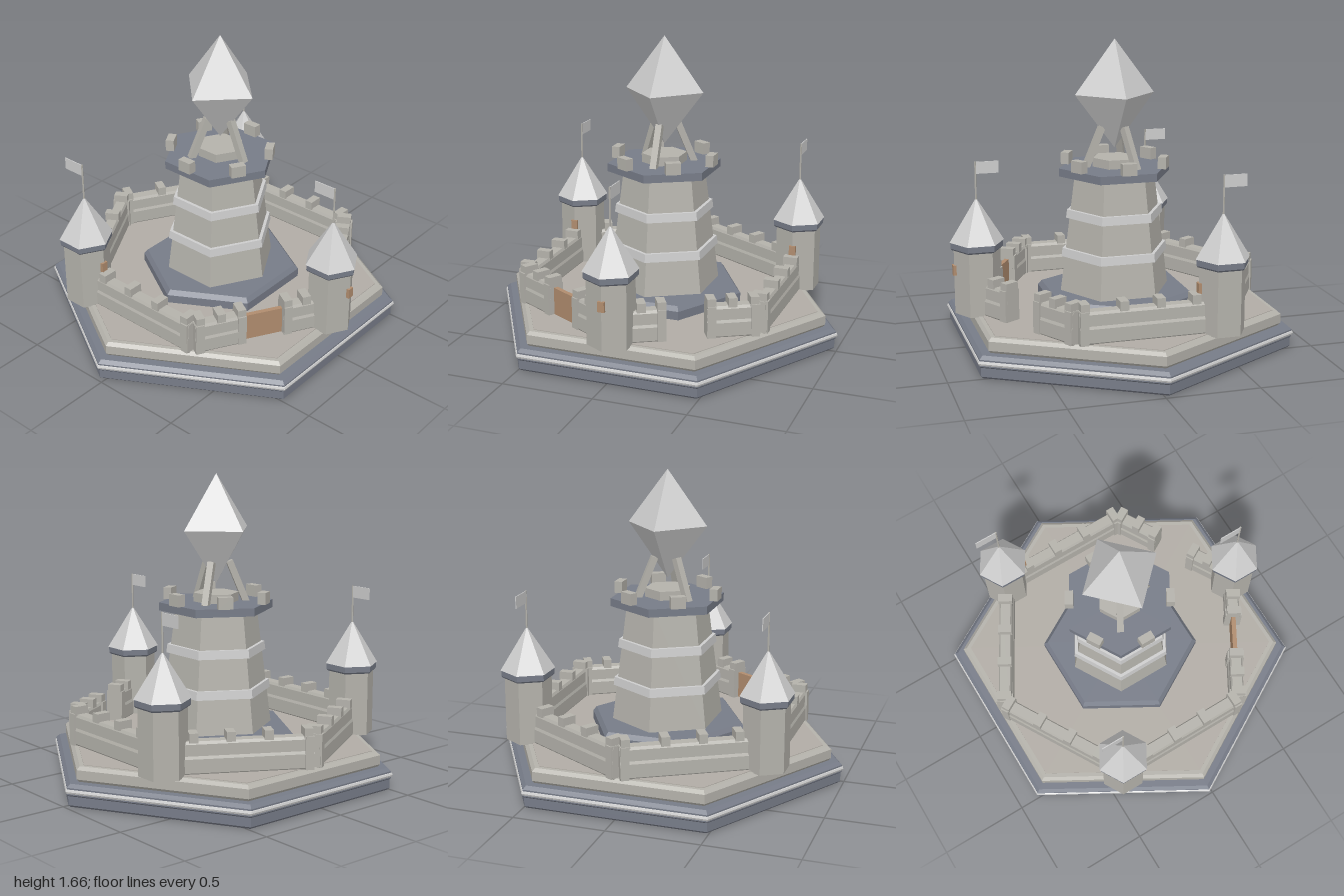
import * as THREE from 'three';

const paint = (name, color) => {
  const m = new THREE.MeshStandardMaterial({ color, flatShading: true });
  m.name = name;
  return m;
};

export function createModel() {
  const stone = paint('stone', 0xb4b2ab);
  const court = paint('courtyard', 0xb1aca5);
  const slate = paint('slate', 0x777c88);
  const pale = paint('paleStone', 0xcdcdcd);
  const wood = paint('wood', 0xb08c6e);

  const model = new THREE.Group();
  const castle = new THREE.Group();
  castle.name = 'castle';
  castle.position.z = -0.025;
  model.add(castle);

  const add = (parent, name, geo, mat, x = 0, y = 0, z = 0) => {
    const m = new THREE.Mesh(geo, mat);
    m.name = name;
    m.position.set(x, y, z);
    parent.add(m);
    return m;
  };
  const box = (w, h, d) => new THREE.BoxGeometry(w, h, d);
  // Six-sided solid from [radius, height] pairs, bottom to top; corners on z unless turned
  const hex = (parent, name, mat, pts, turned = false) => {
    const profile = [[0, pts[0][1]], ...pts, [0, pts[pts.length - 1][1]]];
    const geo = new THREE.LatheGeometry(profile.map(p => new THREE.Vector2(...p)), 6);
    if (turned) geo.rotateY(Math.PI / 6);
    return add(parent, name, geo, mat);
  };

  // Stepped base
  hex(castle, 'baseSlab', slate, [[0.97, 0], [0.984, 0.012], [0.984, 0.06], [0.991, 0.067],
    [0.991, 0.105], [0.97, 0.123]], true);
  add(castle, 'baseRail', new THREE.TorusGeometry(0.986, 0.014, 8, 6).rotateX(Math.PI / 2), pale, 0, 0.085, 0);
  hex(castle, 'plinth', stone, [[0.915, 0.12], [0.93, 0.137], [0.93, 0.187], [0.91, 0.204]], true);
  hex(castle, 'courtyardFloor', court, [[0.885, 0.2], [0.885, 0.207]], true);

  // Keep
  hex(castle, 'keepFooting', slate, [[0.447, 0.2], [0.447, 0.255], [0.425, 0.28]], true);
  hex(castle, 'keepBody', stone, [[0.31, 0.27], [0.225, 0.93]]);
  for (const [y, r] of [[0.497, 0.303], [0.712, 0.276]]) {
    hex(castle, 'keepBand', pale, [[r, y - 0.023], [r - 0.006, y + 0.023]]);
  }
  hex(castle, 'keepPlatform', slate, [[0.314, 0.922], [0.314, 0.966]]);
  hex(castle, 'crystalPedestal', stone, [[0.125, 0.96], [0.125, 1.015]]);
  for (let i = 0; i < 6; i++) {
    const a = i * Math.PI / 3;
    const m = add(castle, 'keepMerlon', box(0.045, 0.064, 0.08), stone,
      0.272 * Math.cos(a), 0.998, 0.272 * Math.sin(a));
    m.rotation.y = -a;
  }

  // Crystal held by three leaning struts
  const up = new THREE.Vector3(0, 1, 0);
  for (let i = 0; i < 3; i++) {
    const a = i * Math.PI * 2 / 3;
    const at = (r, y) => new THREE.Vector3(r * Math.sin(a), y, r * Math.cos(a));
    const low = at(0.165, 0.96), high = at(0.072, 1.185);
    const strut = add(castle, 'crystalStrut', box(0.036, low.distanceTo(high), 0.036), stone);
    strut.position.copy(low).add(high).multiplyScalar(0.5);
    const tilt = new THREE.Quaternion().setFromUnitVectors(up, high.clone().sub(low).normalize());
    strut.quaternion.copy(tilt).multiply(new THREE.Quaternion().setFromAxisAngle(up, a));
  }
  add(castle, 'crystal', new THREE.OctahedronGeometry(1).scale(0.222, 0.297, 0.222), pale, 0, 1.362, 0);

  // Corners of the curtain wall; even ones carry towers
  const R = 0.77;
  const corner = i => new THREE.Vector2(R * Math.sin(i * Math.PI / 3), R * Math.cos(i * Math.PI / 3));

  // Towers
  for (const i of [0, 2, 4]) {
    const c = corner(i);
    const tower = new THREE.Group();
    tower.name = 'tower';
    tower.position.set(c.x, 0, c.y);
    castle.add(tower);
    hex(tower, 'towerBody', stone, [[0.127, 0.2], [0.127, 0.56]]);
    hex(tower, 'towerCollar', slate, [[0.135, 0.553], [0.143, 0.562], [0.143, 0.597]]);
    hex(tower, 'towerRoof', pale, [[0.148, 0.595], [0.001, 0.832]]);
    add(tower, 'towerWindow', box(0.036, 0.055, 0.025), wood, 0, 0.443, 0.122);
    add(tower, 'flagPole', new THREE.CylinderGeometry(0.005, 0.005, 0.24, 6), stone, 0, 0.91, 0);
    add(tower, 'flag', box(0.005, 0.065, 0.125), pale, 0, 0.996, -0.063);
  }

  // Chamfered wall section, extruded along each run
  const half = [[0.034, 0.2], [0.042, 0.213], [0.042, 0.285], [0.036, 0.3], [0.036, 0.36], [0.028, 0.375]];
  const section = new THREE.Shape([...half, ...half.map(([x, y]) => [-x, y]).reverse()]
    .map(p => new THREE.Vector2(...p)));
  const side = (from, to) => {
    const a = corner(from), b = corner(to);
    const g = new THREE.Group();
    g.name = 'curtainWall';
    g.position.set(a.x, 0, a.y);
    g.rotation.y = Math.atan2(b.x - a.x, b.y - a.y);
    castle.add(g);
    return g;
  };
  const run = (g, start, end, merlons, posts) => {
    const geo = new THREE.ExtrudeGeometry(section, { depth: end - start, bevelEnabled: false });
    add(g, 'wallRun', geo, stone, 0, 0, start);
    for (const d of merlons) add(g, 'wallMerlon', box(0.08, 0.05, 0.046), stone, 0, 0.393, d);
    for (const d of posts) add(g, 'wallPost', box(0.096, 0.176, 0.045), stone, 0, 0.29, d);
  };

  // Two side walls and two back walls, each from a plain corner to a tower
  for (const [from, to] of [[1, 2], [5, 4], [3, 2], [3, 4]]) {
    run(side(from, to), 0, 0.7, [0.03, 0.235, 0.43, 0.62], [0.025]);
  }
  // Front walls: a wooden gate on one, an open gap on the other
  for (const from of [5, 1]) {
    const g = side(from, 0);
    run(g, 0, 0.28, [0.03, 0.145, 0.257], [0.025, 0.257]);
    run(g, 0.492, 0.7, [0.515, 0.62], [0.515]);
    if (from === 5) add(g, 'gate', box(0.025, 0.155, 0.23), wood, 0, 0.28, 0.386);
  }
  return model;
}
